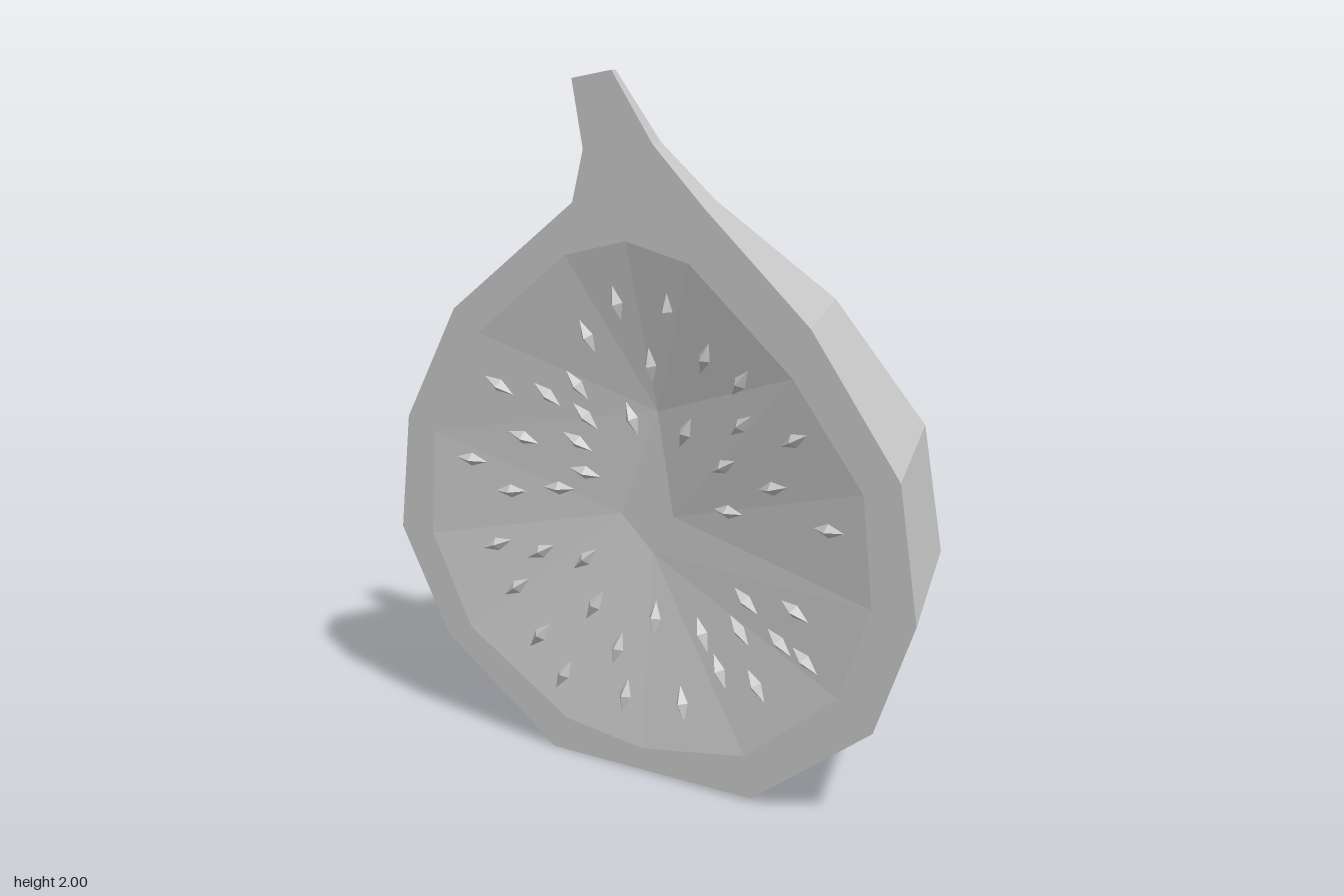
import * as THREE from 'three';

const FRONT = 0.43; // z of the cut plane
const FLOOR = 0.34; // z of the cavity floor

// Rings from base to stem: left x, left y, right x, right y, depth behind the cut
const RINGS = [
  [-0.32, 0.0, 0.375, 0.01, 0.34],
  [-0.72, 0.27, 0.76, 0.295, 0.72],
  [-0.89, 0.58, 0.885, 0.62, 0.86],
  [-0.85, 0.93, 0.83, 1.0, 0.81],
  [-0.66, 1.28, 0.555, 1.37, 0.59],
  [-0.22, 1.63, 0.22, 1.655, 0.21],
  [-0.18, 1.78, 0.055, 1.81, 0.12],
  [-0.215, 1.97, -0.08, 2.0, 0.065],
];

// Cavity opening, counter-clockwise: x, y, index of the floor corner it slopes to
const OPENING = [
  [0.17, 1.5, 0], [-0.04, 1.54, 0], [-0.25, 1.48, 0], [-0.57, 1.22, 0],
  [-0.75, 0.9, 1], [-0.77, 0.58, 1], [-0.63, 0.31, 2], [-0.27, 0.1, 2],
  [0.0, 0.07, 2], [0.35, 0.13, 2], [0.65, 0.37, 2], [0.75, 0.64, 3],
  [0.72, 0.95, 3], [0.5, 1.23, 0],
];
const FLOOR_CORNERS = [[0, 1.05], [-0.13, 0.73], [-0.02, 0.63], [0.05, 0.75]];

// Seed centres, x and y
const SEEDS = [
  [-0.09, 1.36], [0.08, 1.36], [-0.2, 1.25], [0, 1.19], [0.2, 1.24], [0.32, 1.19],
  [-0.51, 1.07], [-0.35, 1.06], [-0.25, 1.1], [-0.23, 1.01], [-0.08, 1.02], [0.11, 1.01],
  [0.32, 1.07], [0.5, 1.06], [-0.44, 0.92], [-0.26, 0.93], [-0.62, 0.83], [-0.49, 0.75],
  [-0.33, 0.78], [-0.24, 0.84], [0.25, 0.94], [0.42, 0.91], [0.61, 0.83], [0.26, 0.81],
  [-0.54, 0.58], [-0.39, 0.58], [-0.24, 0.58], [-0.47, 0.46], [-0.38, 0.33], [-0.2, 0.45],
  [-0.29, 0.23], [-0.11, 0.34], [-0.07, 0.21], [0.01, 0.45], [0.13, 0.23], [0.18, 0.44],
  [0.25, 0.35], [0.38, 0.34], [0.31, 0.48], [0.33, 0.57], [0.45, 0.48], [0.5, 0.58], [0.54, 0.45],
];

function facets(points) {
  const geometry = new THREE.BufferGeometry().setFromPoints(points);
  geometry.computeVertexNormals();
  return geometry;
}

// Half rings joined into the skin, capped at base and stem tip
function skinGeometry() {
  const rings = RINGS.map(([lx, ly, rx, ry, depth]) =>
    Array.from({ length: 5 }, (_, k) => {
      const a = (k * Math.PI) / 4;
      const t = (1 + Math.cos(a)) / 2;
      return new THREE.Vector3(lx + (rx - lx) * t, ly + (ry - ly) * t, FRONT - depth * Math.sin(a));
    }));
  const tris = [];
  for (let i = 0; i < rings.length - 1; i++) {
    const lo = rings[i], hi = rings[i + 1];
    for (let k = 0; k < 4; k++) {
      tris.push(lo[k], lo[k + 1], hi[k], lo[k + 1], hi[k + 1], hi[k]);
    }
  }
  const base = rings[0], tip = rings[rings.length - 1];
  for (let k = 1; k < 4; k++) {
    tris.push(base[0], base[k + 1], base[k], tip[0], tip[k], tip[k + 1]);
  }
  return facets(tris);
}

// Flat cut face with the cavity opening left out
function cutFaceGeometry() {
  const right = RINGS.map(r => new THREE.Vector2(r[2], r[3]));
  const left = RINGS.map(r => new THREE.Vector2(r[0], r[1])).reverse();
  const shape = new THREE.Shape([...right, ...left]);
  shape.holes.push(new THREE.Path(OPENING.map(([x, y]) => new THREE.Vector2(x, y))));
  return new THREE.ShapeGeometry(shape).translate(0, 0, FRONT);
}

// Shallow faceted hollow sloping to a small flat floor
function cavityGeometry() {
  const floor = FLOOR_CORNERS.map(([x, y]) => new THREE.Vector3(x, y, FLOOR));
  const rim = OPENING.map(([x, y]) => new THREE.Vector3(x, y, FRONT));
  const tris = [floor[0], floor[1], floor[2], floor[0], floor[2], floor[3]];
  rim.forEach((p, i) => {
    const j = (i + 1) % rim.length;
    const a = floor[OPENING[i][2]], b = floor[OPENING[j][2]];
    tris.push(p, rim[j], a);
    if (a !== b) tris.push(rim[j], b, a);
  });
  return facets(tris);
}

export function createModel() {
  const group = new THREE.Group();
  group.name = 'halvedFig';
  const material = new THREE.MeshStandardMaterial({ color: 0xcccccc, flatShading: true });
  const add = (name, geometry, parent = group) => {
    const mesh = new THREE.Mesh(geometry, material);
    mesh.name = name;
    parent.add(mesh);
    return mesh;
  };

  add('skin', skinGeometry());
  add('cutFace', cutFaceGeometry());
  const cavity = add('cavity', cavityGeometry());

  // Pointed seeds lying on the cavity wall, aimed at its middle
  const seeds = new THREE.Group();
  seeds.name = 'seeds';
  group.add(seeds);
  const seedGeometry = new THREE.OctahedronGeometry(1).scale(0.052, 0.02, 0.022);
  const ray = new THREE.Raycaster();
  for (const [x, y] of SEEDS) {
    ray.set(new THREE.Vector3(x, y, 2), new THREE.Vector3(0, 0, -1));
    const hit = ray.intersectObject(cavity)[0];
    if (!hit) continue;
    const normal = hit.face.normal;
    const along = new THREE.Vector3(x, y - 0.8, 0).projectOnPlane(normal).normalize();
    const across = new THREE.Vector3().crossVectors(normal, along);
    const seed = add('seed', seedGeometry, seeds);
    seed.quaternion.setFromRotationMatrix(new THREE.Matrix4().makeBasis(along, across, normal));
    seed.position.copy(hit.point).addScaledVector(normal, 0.006);
  }
  return group;
}
